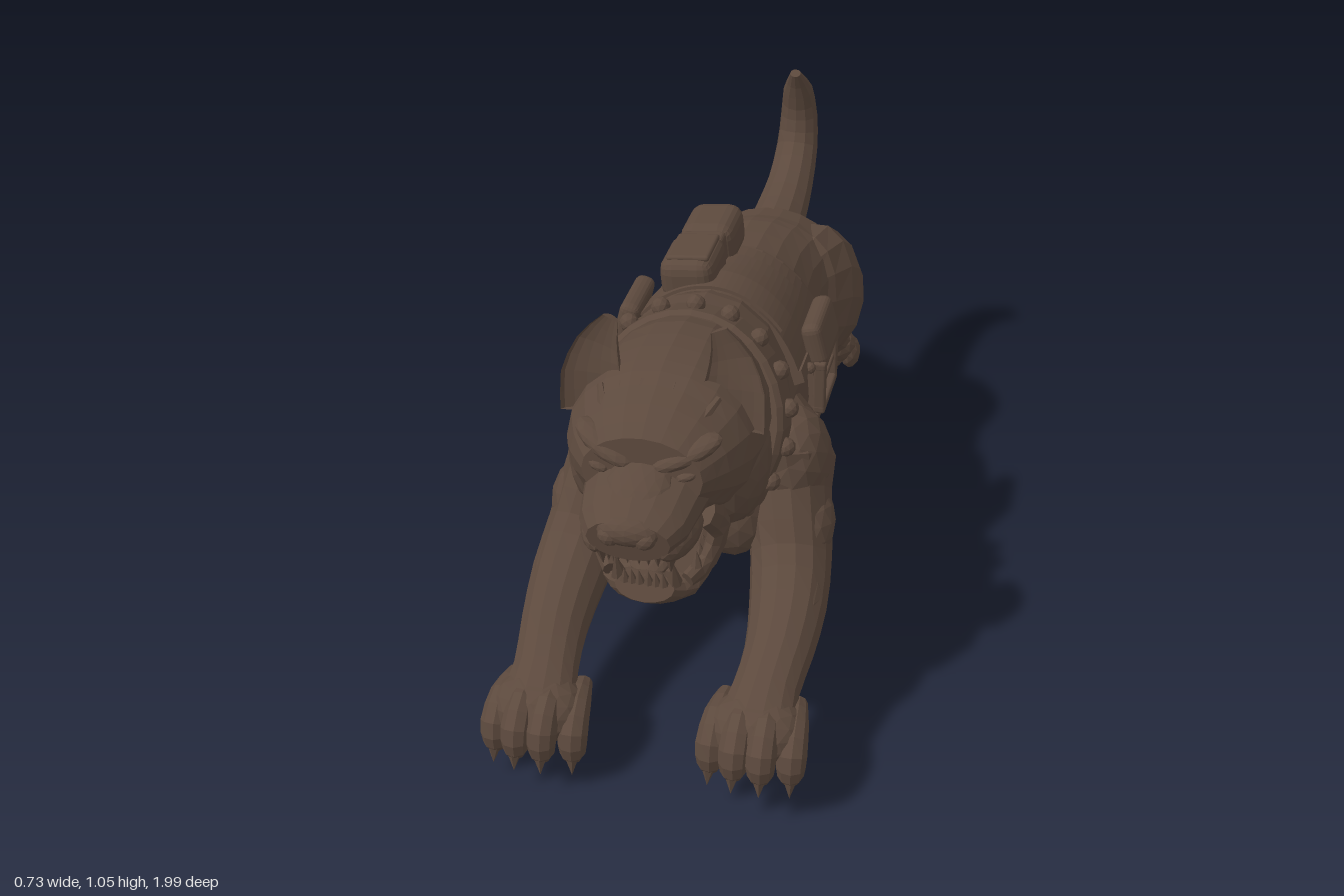
import * as THREE from 'three';
import { RoundedBoxGeometry } from 'three/addons/geometries/RoundedBoxGeometry.js';

const hide = new THREE.MeshStandardMaterial({ color: 0x5c493d });
hide.name = 'darkBrown';
const V = (x, y, z) => new THREE.Vector3(x, y, z);

// Faceted mesh in the single colour
function mesh(parent, name, geo) {
  const g = geo.index ? geo.toNonIndexed() : geo;
  g.computeVertexNormals();
  const m = new THREE.Mesh(g, hide);
  m.name = name;
  parent.add(m);
  return m;
}

// Closed skin over rows of [x, y, z, rx, ry]; arc gives a wedge, dent a hollow front
function loft(parent, name, rows, { sides = 16, sub = 2, arc = null, dent = false } = {}) {
  const path = new THREE.CatmullRomCurve3(rows.map(r => V(r[0], r[1], r[2])));
  const size = new THREE.CatmullRomCurve3(rows.map(r => V(r[3], r[4], 0)));
  const n = (rows.length - 1) * sub, pos = [], idx = [];
  const [a0, a1] = arc || [0, Math.PI * 2];
  const count = arc ? sides + 2 : sides;
  for (let i = 0; i <= n; i++) {
    const c = path.getPoint(i / n), s = size.getPoint(i / n), T = path.getTangent(i / n);
    const R = V(1, 0, 0).addScaledVector(T, -T.x).normalize();
    const U = T.clone().cross(R);
    if (arc) pos.push(c.x, c.y, c.z);
    for (let j = 0; j < count - (arc ? 1 : 0); j++) {
      const a = a0 + (a1 - a0) * j / sides;
      let v = Math.sin(a) * s.y;
      if (dent && v < 0) v *= -0.2;
      const p = c.clone().addScaledVector(R, Math.cos(a) * s.x).addScaledVector(U, v);
      pos.push(p.x, p.y, p.z);
    }
  }
  for (let i = 0; i < n; i++) for (let j = 0; j < count; j++) {
    const a = i * count + j, b = i * count + (j + 1) % count;
    idx.push(a, b, a + count, b, b + count, a + count);
  }
  for (let j = 1; j < count - 1; j++) {
    idx.push(0, j + 1, j);
    idx.push(n * count, n * count + j, n * count + j + 1);
  }
  const g = new THREE.BufferGeometry();
  g.setAttribute('position', new THREE.Float32BufferAttribute(pos, 3));
  g.setIndex(idx);
  return mesh(parent, name, g);
}

function blob(parent, name, p, s, rot = [0, 0, 0], detail = 2) {
  const m = mesh(parent, name, new THREE.IcosahedronGeometry(1, detail));
  m.position.set(...p); m.scale.set(...s); m.rotation.set(...rot);
}

// Cone from base to tip
function spike(parent, name, base, tip, r) {
  const a = V(...base), b = V(...tip), d = b.clone().sub(a);
  const m = mesh(parent, name, new THREE.ConeGeometry(r, d.length(), 6));
  m.position.copy(a).addScaledVector(d, 0.5);
  m.quaternion.setFromUnitVectors(V(0, 1, 0), d.normalize());
}

// Softened box
function block(parent, name, p, s, rot = [0, 0, 0], bevel = 0.012) {
  const m = mesh(parent, name, new RoundedBoxGeometry(...s, 2, Math.min(bevel, Math.min(...s) / 2.1)));
  m.position.set(...p); m.rotation.set(...rot);
}

// Torso cross-sections: [z, centre y, rx, ry]
const TORSO = [[-0.57, 0.62, 0.08, 0.08], [-0.48, 0.62, 0.17, 0.135], [-0.36, 0.605, 0.2, 0.185], [-0.24, 0.605, 0.178, 0.208],
  [-0.1, 0.585, 0.19, 0.25], [0.06, 0.57, 0.207, 0.287], [0.2, 0.585, 0.215, 0.297], [0.32, 0.6, 0.215, 0.285],
  [0.42, 0.575, 0.215, 0.25], [0.5, 0.55, 0.185, 0.2], [0.56, 0.53, 0.1, 0.11]];
function torsoAt(z, lift = 0) {
  let i = 0;
  while (i < TORSO.length - 2 && TORSO[i + 1][0] < z) i++;
  const a = TORSO[i], b = TORSO[i + 1], t = (z - a[0]) / (b[0] - a[0]);
  const v = k => a[k] + (b[k] - a[k]) * t;
  return [0, v(1), z, v(2) + lift, v(3) + lift];
}

function frontLeg(parent, s, dy) {
  const g = new THREE.Group(); g.name = s > 0 ? 'leftFrontLeg' : 'rightFrontLeg'; parent.add(g);
  loft(g, 'leg', [[s * 0.15, 0.64, 0.25, 0.06, 0.08], [s * 0.18, 0.57, 0.3, 0.1, 0.14], [s * 0.215, 0.47, 0.38, 0.1, 0.14],
    [s * 0.242, 0.365, 0.48, 0.094, 0.108], [s * 0.257, 0.305, 0.59, 0.088, 0.088], [s * 0.26, 0.25 + dy / 2, 0.7, 0.078, 0.074],
    [s * 0.252, 0.205 + dy, 0.8, 0.075, 0.06], [s * 0.247, 0.175 + dy, 0.88, 0.088, 0.056]], { sides: 14 });
  blob(g, 'shoulder', [s * 0.21, 0.55, 0.36], [0.1, 0.13, 0.13], [0.4, 0, 0]);
  blob(g, 'upperArm', [s * 0.247, 0.43, 0.44], [0.088, 0.085, 0.11], [0.6, 0, 0]);
  blob(g, 'forearm', [s * 0.273, 0.325, 0.58], [0.068, 0.065, 0.13], [0.45, 0, 0]);
  blob(g, 'elbow', [s * 0.245, 0.305, 0.47], [0.065, 0.065, 0.085]);
  // Paw, toes and claws
  const y = 0.155 + dy;
  blob(g, 'paw', [s * 0.247, y + 0.01, 0.875], [0.108, 0.068, 0.085], [0.4, 0, 0]);
  blob(g, 'pad', [s * 0.247, y - 0.045, 0.87], [0.07, 0.045, 0.055]);
  for (let i = 0; i < 4; i++) {
    const o = (i - 1.5) * 0.053, x = s * 0.245 + o, k = Math.abs(i - 1.5) > 1 ? 0.035 : 0, h = k * 0.6;
    loft(g, 'toe', [[x, y + 0.045 - h, 0.83 - k, 0.02, 0.02], [x + o * 0.08, y + 0.04 - h, 0.9 - k, 0.03, 0.034],
      [x + o * 0.12, y + 0.002 - h, 0.952 - k, 0.034, 0.038], [x + o * 0.12, y - 0.045 - h, 0.96 - k, 0.029, 0.03],
      [x + o * 0.12, y - 0.07 - h, 0.95 - k, 0.012, 0.014]], { sides: 9 });
    spike(g, 'claw', [x + o * 0.12, y - 0.035 - h, 0.968 - k], [x + o * 0.15, y - 0.095 - h, 0.982 - k], 0.022);
  }
}

function hindLeg(parent, s, x, y) {
  const g = new THREE.Group(); g.name = s > 0 ? 'leftHindLeg' : 'rightHindLeg'; parent.add(g);
  const mx = s * 0.075 + x / 2, my = y - 0.19, out = s < 0 ? -0.012 : 0;
  loft(g, 'leg', [[s * 0.1, 0.61, -0.25, 0.06, 0.13], [s * 0.125 + out, 0.575, -0.37, 0.11, 0.18], [s * 0.14 + out, 0.49, -0.5, 0.1, 0.155],
    [mx, 0.395 + my * 0.1, -0.62, 0.076, 0.112], [mx, 0.31 + my * 0.3, -0.72, 0.057, 0.075], [x, 0.25 + my * 0.65, -0.82, 0.066, 0.058],
    [x, y + 0.02, -0.91, 0.085, 0.055]], { sides: 14 });
  blob(g, 'thigh', [s * 0.155 + out, 0.53, -0.43], [0.085, 0.17, 0.12], [0.6, 0, 0]);
  blob(g, 'calf', [mx, 0.375, -0.62], [0.07, 0.07, 0.13], [-0.7, 0, 0]);
  blob(g, 'hock', [x, 0.28 + my * 0.6, -0.83], [0.045, 0.045, 0.075], [-0.5, 0, 0]);
  blob(g, 'paw', [x, y + 0.005, -0.915], [0.095, 0.065, 0.075], [-0.6, 0, 0]);
  blob(g, 'pad', [x, y - 0.025, -0.905], [0.065, 0.05, 0.055]);
  blob(g, 'dewToe', [x - s * 0.075, y - 0.02, -0.88], [0.026, 0.045, 0.035], [0.4, 0, 0], 1);
  for (let i = 0; i < 4; i++) {
    const o = (i - 1.5) * 0.05, k = Math.abs(i - 1.5) > 1 ? 0.02 : 0;
    blob(g, 'toe', [x + o, y - 0.025, -0.95 + k], [0.03, 0.055, 0.046], [0.4, 0, 0], 1);
    spike(g, 'claw', [x + o * 1.05, y - 0.045, -0.965 + k], [x + o * 1.1, y - 0.088, -0.98 + k], 0.02);
  }
}

function head(parent) {
  const g = new THREE.Group(); g.name = 'head'; parent.add(g);
  loft(g, 'skull', [[0, 0.73, 0.42, 0.18, 0.19], [0, 0.76, 0.52, 0.2, 0.2], [0, 0.775, 0.62, 0.21, 0.19], [0, 0.785, 0.71, 0.202, 0.172],
    [0, 0.8, 0.79, 0.17, 0.13], [0, 0.805, 0.85, 0.128, 0.085]], { sides: 20 });
  loft(g, 'muzzle', [[0, 0.75, 0.72, 0.15, 0.09], [0, 0.745, 0.83, 0.13, 0.083], [0, 0.728, 0.92, 0.115, 0.07], [0, 0.722, 0.965, 0.088, 0.052]]);
  loft(g, 'lowerJaw', [[0, 0.63, 0.53, 0.15, 0.1], [0, 0.6, 0.64, 0.15, 0.085], [0, 0.53, 0.74, 0.13, 0.065],
    [0, 0.5, 0.805, 0.105, 0.045], [0, 0.525, 0.855, 0.065, 0.035]]);
  blob(g, 'tongue', [0, 0.575, 0.77], [0.055, 0.022, 0.085], [0.45, 0, 0]);
  // Nose
  blob(g, 'nose', [0, 0.745, 0.955], [0.07, 0.035, 0.035]);
  blob(g, 'noseBridge', [0, 0.795, 0.87], [0.07, 0.03, 0.09], [0.4, 0, 0]);
  for (const s of [-1, 1]) {
    blob(g, 'nostril', [s * 0.038, 0.735, 0.972], [0.024, 0.02, 0.018], [0, 0, s * 0.4], 1);
    blob(g, 'cheek', [s * 0.14, 0.71, 0.62], [0.08, 0.14, 0.13]);
    blob(g, 'upperLip', [s * 0.085, 0.695, 0.88], [0.038, 0.042, 0.085], [0, s * -0.2, s * 0.3]);
    blob(g, 'brow', [s * 0.085, 0.85, 0.812], [0.08, 0.024, 0.04], [0, s * 0.45, s * 0.35]);
    blob(g, 'eye', [s * 0.095, 0.815, 0.838], [0.028, 0.012, 0.02], [0, s * 0.4, s * 0.3], 1);
    loft(g, 'mouthCorner', [[s * 0.12, 0.7, 0.8, 0.022, 0.035], [s * 0.135, 0.63, 0.74, 0.024, 0.045], [s * 0.118, 0.55, 0.765, 0.02, 0.035],
      [s * 0.085, 0.53, 0.82, 0.016, 0.02]], { sides: 8 });
    // Teeth
    spike(g, 'upperFang', [s * 0.075, 0.675, 0.91], [s * 0.072, 0.61, 0.905], 0.02);
    spike(g, 'lowerFang', [s * 0.06, 0.53, 0.835], [s * 0.062, 0.6, 0.855], 0.018);
    for (let i = 0; i < 3; i++) {
      spike(g, 'upperTooth', [s * (0.012 + i * 0.02), 0.675, 0.93], [s * (0.012 + i * 0.02), 0.64, 0.93], 0.012);
      spike(g, 'lowerTooth', [s * (0.01 + i * 0.016), 0.535, 0.855], [s * (0.01 + i * 0.016), 0.57, 0.86], 0.011);
      spike(g, 'molar', [s * 0.1, 0.555, 0.8 - i * 0.03], [s * 0.1, 0.595, 0.8 - i * 0.03], 0.014);
      // Forehead wrinkles
      const x = s * (0.025 + i * 0.036);
      loft(g, 'wrinkle', [[x * 0.7, 0.865, 0.82 - i * 0.008, 0.01, 0.01], [x, 0.902 - i * 0.006, 0.778 - i * 0.005, 0.013, 0.011],
        [x * 1.3, 0.938 - i * 0.012, 0.7, 0.008, 0.008]], { sides: 6 });
    }
    // Ear, hollow at the front
    loft(g, 'ear', [[s * 0.145, 0.84, 0.69, 0.075, 0.105], [s * 0.152, 0.92, 0.68, 0.066, 0.09], [s * 0.142, 0.985, 0.662, 0.046, 0.065],
      [s * 0.115, 1.045, 0.65, 0.018, 0.022]], { sides: 14, dent: true });
  }
}

function harness(parent) {
  const g = new THREE.Group(); g.name = 'harness'; parent.add(g);
  const band = (name, z0, z1, lift, arc) => loft(g, name, [0, 0.33, 0.67, 1].map(t => torsoAt(z0 + (z1 - z0) * t, lift)),
    { sides: 24, sub: 1, arc });
  band('girthBelt', -0.1, 0.03, 0.012);
  band('chestStrap', 0.04, 0.13, 0.014);
  band('beltEdge', -0.1, -0.085, 0.018);
  band('saddle', -0.09, 0.28, 0.018, [0.35, Math.PI - 0.35]);
  band('saddleTop', 0.0, 0.27, 0.025, [0.8, Math.PI - 0.8]);
  band('saddleHem', -0.09, 0.28, 0.025, [0.35, 0.45]);
  band('saddleHem', -0.09, 0.28, 0.025, [Math.PI - 0.45, Math.PI - 0.35]);
  for (const s of [-1, 1]) {
    // Buckle frame, tongue and hanging strap
    for (const k of [-1, 1]) {
      block(g, 'buckleRail', [s * 0.243, 0.63 + k * 0.058, 0.09], [0.03, 0.022, 0.175], [0, 0, 0], 0.006);
      block(g, 'buckleSide', [s * 0.243, 0.63, 0.09 + k * 0.076], [0.03, 0.13, 0.022], [0, 0, 0], 0.006);
    }
    block(g, 'buckleTongue', [s * 0.242, 0.63, 0.09], [0.02, 0.015, 0.14], [0, 0, 0], 0.005);
    block(g, 'strapLoop', [s * 0.213, 0.49, 0.075], [0.035, 0.03, 0.12], [0, 0, s * -0.25]);
    block(g, 'strapLoop', [s * 0.18, 0.41, 0.075], [0.035, 0.03, 0.12], [0, 0, s * -0.6]);
    block(g, 'sidePouch', [s * 0.227, 0.735, 0.085], [0.05, 0.11, 0.17], [0, 0, s * 0.25], 0.02);
    blob(g, 'rivet', [s * 0.225, 0.7, 0.2], [0.014, 0.014, 0.014], [0, 0, 0], 1);
  }
  // Packs on the back
  block(g, 'backPack', [-0.065, 0.897, 0.14], [0.13, 0.11, 0.165], [0, 0, 0.1], 0.035);
  block(g, 'backPack', [-0.06, 0.893, -0.035], [0.13, 0.11, 0.165], [0, 0, 0.1], 0.035);
  block(g, 'packStrap', [-0.062, 0.89, 0.055], [0.11, 0.1, 0.05], [0, 0, 0.1]);
  block(g, 'packFlap', [-0.065, 0.95, 0.14], [0.1, 0.015, 0.12], [0, 0, 0.1]);
}

export function createModel() {
  const dog = new THREE.Group(); dog.name = 'leapingDog';
  loft(dog, 'torso', TORSO.map(([z, y, rx, ry]) => [0, y, z, rx, ry]), { sides: 22 });
  loft(dog, 'neck', [[0, 0.66, 0.2, 0.16, 0.2], [0, 0.685, 0.32, 0.205, 0.235], [0, 0.705, 0.44, 0.208, 0.225], [0, 0.73, 0.54, 0.19, 0.2]]);
  for (const s of [-1, 1]) blob(dog, 'pectoral', [s * 0.085, 0.49, 0.46], [0.1, 0.14, 0.075], [-0.2, 0, s * 0.25]);

  // Studded collar
  loft(dog, 'collar', [[0, 0.69, 0.42, 0.216, 0.236], [0, 0.694, 0.43, 0.228, 0.248], [0, 0.722, 0.505, 0.224, 0.244],
    [0, 0.726, 0.515, 0.212, 0.232]], { sides: 28, sub: 1 });
  for (let i = 0; i < 18; i++) {
    const a = (i + 0.5) / 18 * Math.PI * 2, v = Math.sin(a) * 0.252;
    blob(dog, 'collarStud', [Math.cos(a) * 0.23, 0.708 + v * 0.936, 0.468 - v * 0.35], [0.022, 0.022, 0.022], [0, 0, a], 1);
  }

  head(dog);
  harness(dog);
  frontLeg(dog, 1, 0.035);
  frontLeg(dog, -1, 0);
  hindLeg(dog, 1, 0.068, 0.09);
  hindLeg(dog, -1, -0.155, 0.19);
  loft(dog, 'tail', [[0, 0.68, -0.42, 0.075, 0.075], [0, 0.695, -0.55, 0.07, 0.065], [0, 0.725, -0.68, 0.062, 0.06], [0, 0.795, -0.775, 0.056, 0.056],
    [0, 0.88, -0.797, 0.05, 0.048], [0, 0.96, -0.775, 0.04, 0.036], [0, 1.025, -0.73, 0.014, 0.012]], { sides: 12 });
  return dog;
}
